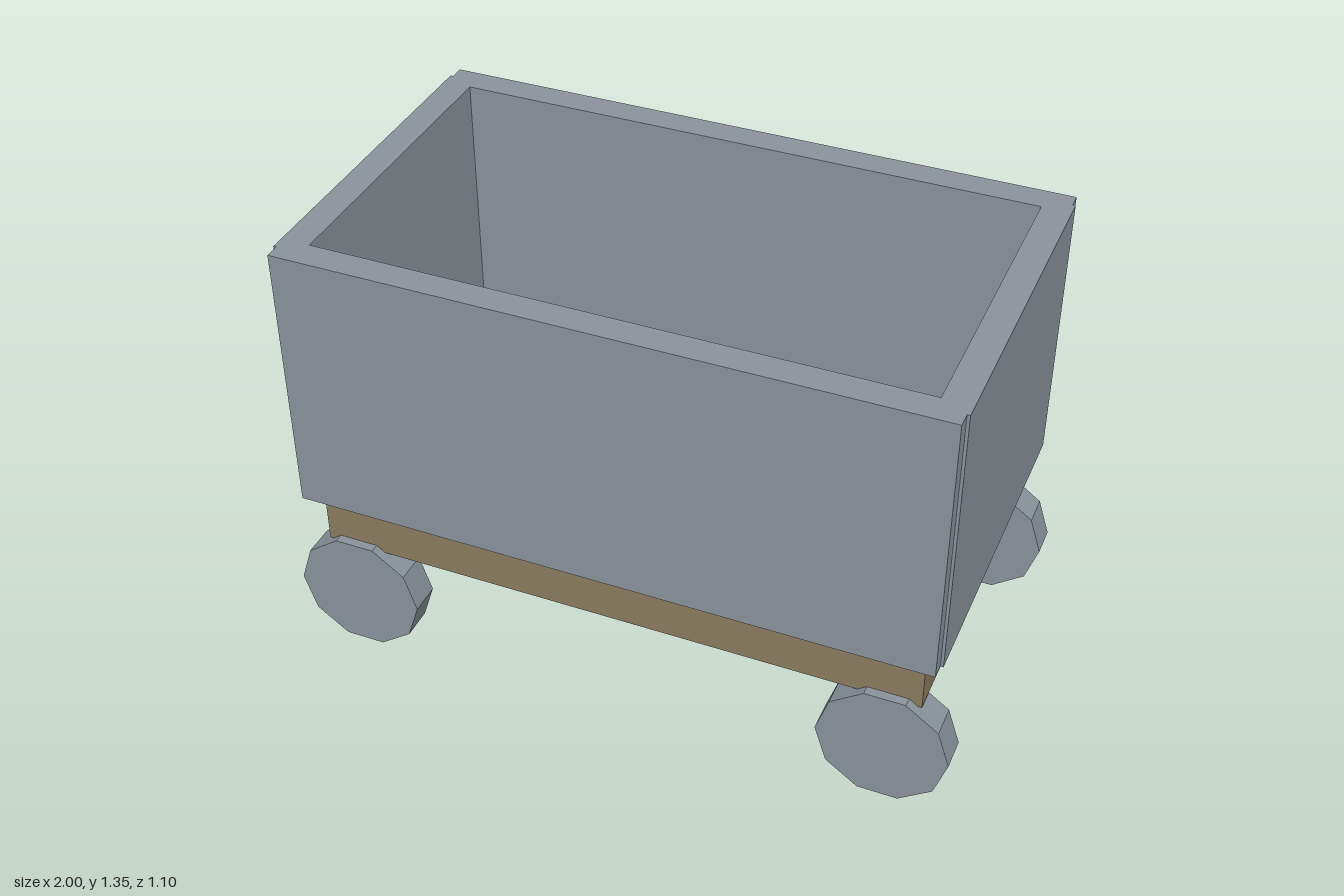
import * as THREE from 'three';

export function createModel() {
  const model = new THREE.Group();
  model.name = 'mineCart';

  const material = (name, color) => {
    const m = new THREE.MeshStandardMaterial({ color });
    m.name = name;
    return m;
  };
  const metal = material('greyMetal', 0x8a929a);
  const wood = material('brownWood', 0x8b7b60);
  const darkMetal = material('darkFloor', 0x5b6464);

  const add = (name, geometry, mat, x, y, z) => {
    const mesh = new THREE.Mesh(geometry, mat);
    mesh.name = name;
    mesh.position.set(x, y, z);
    model.add(mesh);
    return mesh;
  };
  const box = (name, mat, w, h, d, x, y, z) =>
    add(name, new THREE.BoxGeometry(w, h, d), mat, x, y, z);

  // Open bin: long panels stand slightly proud of the end panels at the corners
  const bottom = 0.523, top = 1.353;
  const height = top - bottom, middle = (top + bottom) / 2;
  for (const s of [1, -1]) {
    box(s > 0 ? 'frontPanel' : 'backPanel', metal, 1.89, height, 0.085, 0, middle, s * 0.5065);
    box(s > 0 ? 'leftPanel' : 'rightPanel', metal, 0.085, height, 1.01, s * 0.911, middle, 0);
  }
  box('binFloor', darkMetal, 1.76, 0.06, 0.95, 0, bottom + 0.031, 0);

  // Chassis and the beam beneath it
  box('chassis', wood, 1.81, 0.147, 0.99, 0, 0.4185, 0);
  box('centreBeam', metal, 1.6, 0.127, 0.146, 0, 0.2825, 0);

  // Ten-sided wheels, standing on a flat side
  const wheelRadius = 0.1915;
  const wheelGeometry = new THREE.CylinderGeometry(wheelRadius, wheelRadius, 0.097, 10)
    .rotateY(Math.PI / 2)
    .rotateX(Math.PI / 2)
    .toNonIndexed();
  wheelGeometry.computeVertexNormals();
  const wheelHeight = wheelRadius * Math.cos(Math.PI / 10);
  for (const x of [1, -1]) {
    for (const z of [1, -1]) {
      const name = (z > 0 ? 'front' : 'back') + (x > 0 ? 'Left' : 'Right') + 'Wheel';
      add(name, wheelGeometry, metal, x * 0.8085, wheelHeight, z * 0.474);
    }
  }

  return model;
}
